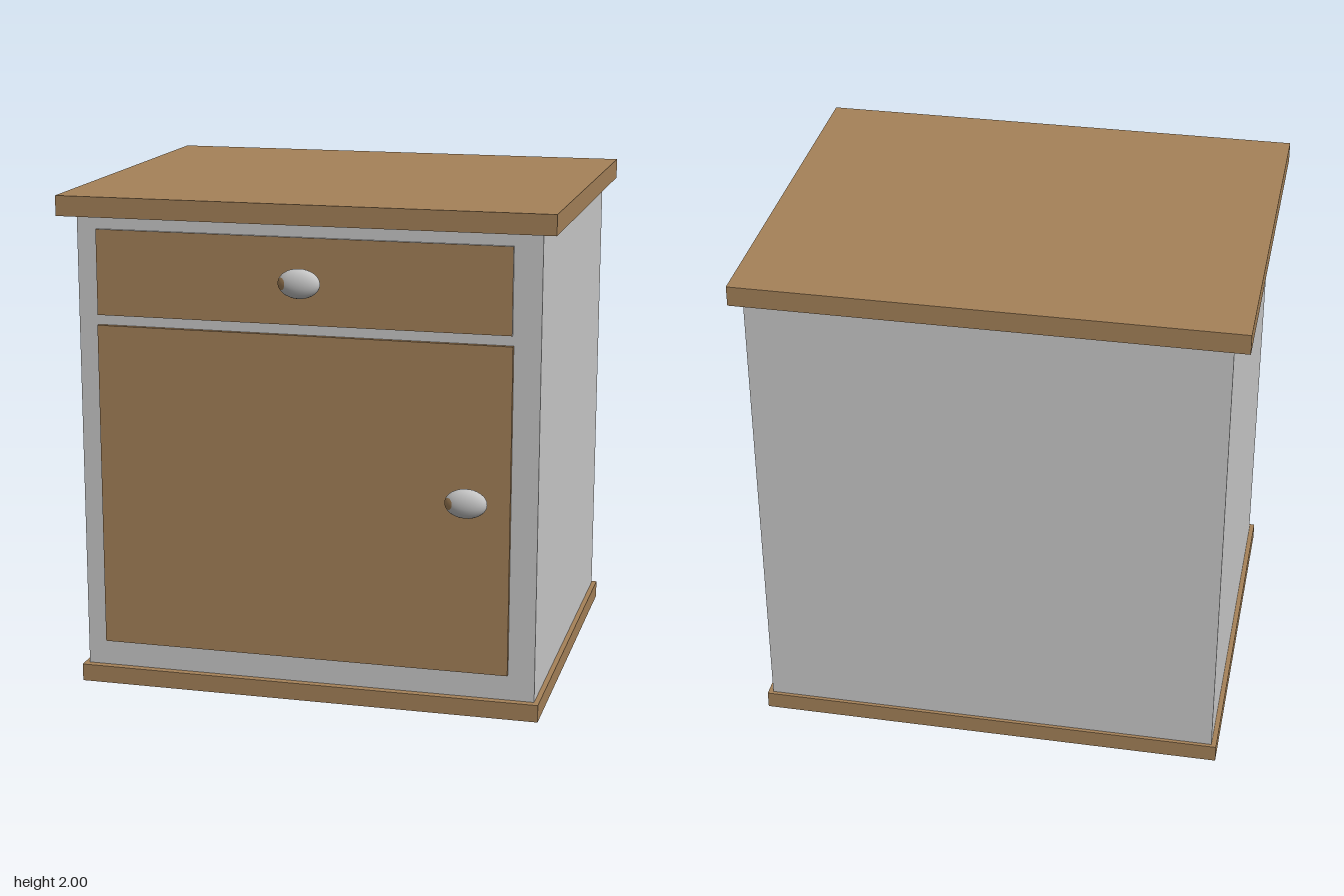
import * as THREE from 'three';

const wood = new THREE.MeshStandardMaterial({ color: 0xa58259 });
wood.name = 'wood';
const paint = new THREE.MeshStandardMaterial({ color: 0xcacaca });
paint.name = 'greyPaint';
const metal = new THREE.MeshStandardMaterial({ color: 0xc4c4c4 });
metal.name = 'knobMetal';

// Box given by its extents on each axis
function box(name, [x0, x1], [y0, y1], [z0, z1], material) {
  const mesh = new THREE.Mesh(new THREE.BoxGeometry(x1 - x0, y1 - y0, z1 - z0), material);
  mesh.position.set((x0 + x1) / 2, (y0 + y1) / 2, (z0 + z1) / 2);
  mesh.name = name;
  return mesh;
}

// Oval knob on a short stem, with a small wood-coloured patch on one side
function knob(name, x, y) {
  const group = new THREE.Group();
  group.name = name;
  const capAngle = 0.42;
  const pieces = [
    ['knobHead', capAngle, Math.PI - capAngle, metal],
    ['knobPatch', 0, capAngle, wood],
  ];
  for (const [label, start, length, material] of pieces) {
    const geometry = new THREE.SphereGeometry(1, 24, label === 'knobHead' ? 16 : 3, 0, Math.PI * 2, start, length);
    geometry.rotateZ(Math.PI / 2).rotateY(Math.PI / 6).scale(0.083, 0.058, 0.037);
    const mesh = new THREE.Mesh(geometry, material);
    mesh.name = label;
    mesh.position.z = 0.802;
    group.add(mesh);
  }
  const stem = new THREE.Mesh(new THREE.CylinderGeometry(0.02, 0.02, 0.08, 16).rotateX(Math.PI / 2), metal);
  stem.name = 'knobStem';
  stem.position.z = 0.76;
  group.add(stem);
  group.position.set(x, y, 0);
  return group;
}

export function createModel() {
  const model = new THREE.Group();
  model.name = 'bedsideCabinet';

  // Carcass between the base and the worktop
  model.add(
    box('base', [-0.94, 0.94], [0, 0.07], [-0.84, 0.75], wood),
    box('body', [-0.92, 0.92], [0.07, 1.92], [-0.825, 0.72], paint),
    box('top', [-0.98, 0.98], [1.92, 2], [-0.83, 0.79], wood),
  );

  // Drawer: painted edges with a wooden face
  const drawer = box('drawerFront', [-0.84, 0.81], [1.525, 1.865], [0.71, 0.732], paint);
  drawer.material = [paint, paint, paint, paint, wood, paint];
  model.add(drawer);

  // Door
  model.add(box('door', [-0.84, 0.815], [0.175, 1.485], [0.71, 0.738], wood));

  model.add(knob('drawerKnob', 0, 1.70), knob('doorKnob', 0.655, 0.88));
  return model;
}
